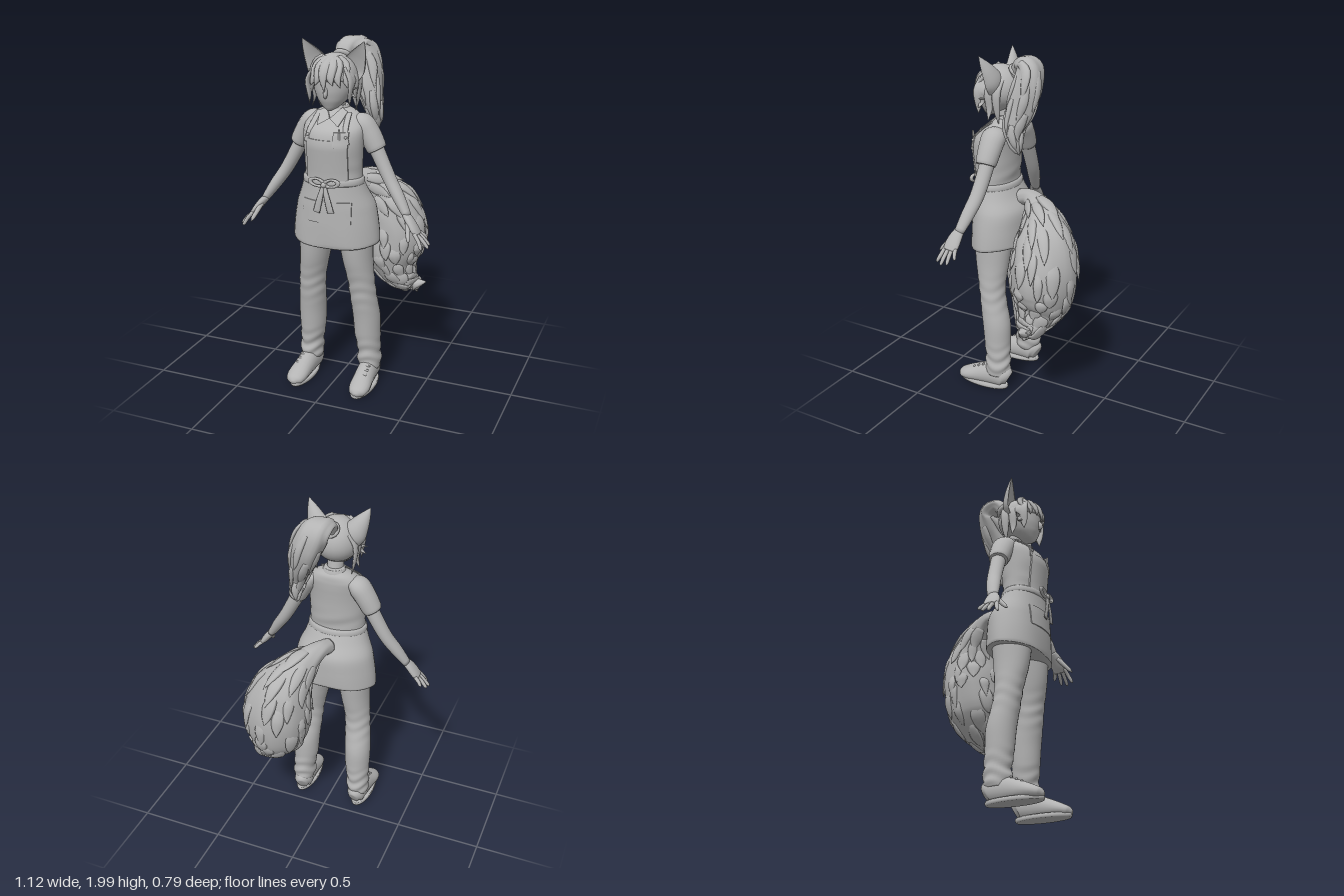
import * as THREE from 'three';

const grey = new THREE.MeshStandardMaterial({ color: 0xb4b4b4, side: THREE.DoubleSide });
const V = (x, y, z) => new THREE.Vector3(x, y, z);
const { sin, cos, sqrt, min, max, abs, PI, floor } = Math;

// Seeded random numbers
let seed = 7;
const rnd = (a, b) => {
  seed = (seed * 16807) % 2147483647;
  return a + (b - a) * seed / 2147483647;
};

// Surface through rings [x, y, z, halfWidth, halfDepth]; ref is the width direction
function surface(rings, ref = V(1, 0, 0), flat = false) {
  const path = new THREE.CatmullRomCurve3(rings.map(r => V(r[0], r[1], r[2])));
  const size = new THREE.CatmullRomCurve3(rings.map((r, i) => V(r[3], r[4], i * 0.05)));
  const frame = t => {
    const T = flat ? V(0, 1, 0) : path.getPoint(min(1, t + 0.004)).sub(path.getPoint(max(0, t - 0.004))).normalize();
    const u = ref.clone().addScaledVector(T, -ref.dot(T)).normalize();
    return { c: path.getPoint(t), s: size.getPoint(t), u, v: T.cross(u) };
  };
  const at = (t, th, k = 1) => {
    const f = frame(t);
    return f.c.addScaledVector(f.u, f.s.x * k * cos(th)).addScaledVector(f.v, f.s.y * k * sin(th));
  };
  return { path, at };
}

// Closed smooth skin over a surface; bump(point, angle, t, centre) adjusts each point
function loft(name, rings, { n = 20, steps = 5, ref, flat, bump } = {}) {
  const s = surface(rings, ref, flat), rows = (rings.length - 1) * steps, pos = [], idx = [];
  for (let i = 0; i <= rows; i++) {
    const t = i / rows, c = s.path.getPoint(t);
    for (let j = 0; j < n; j++) {
      const th = j / n * 2 * PI, p = s.at(t, th);
      if (bump) bump(p, th, t, c);
      pos.push(p.x, p.y, p.z);
      if (i < rows) {
        const a = i * n + j, b = i * n + (j + 1) % n;
        idx.push(a, b, b + n, a, b + n, a + n);
      }
    }
  }
  for (const [row, flip] of [[0, true], [rows, false]]) {
    const c = s.path.getPoint(row / rows), k = pos.length / 3;
    pos.push(c.x, c.y, c.z);
    for (let j = 0; j < n; j++) {
      const a = row * n + j, b = row * n + (j + 1) % n;
      flip ? idx.push(k, b, a) : idx.push(k, a, b);
    }
  }
  const g = new THREE.BufferGeometry();
  g.setAttribute('position', new THREE.Float32BufferAttribute(pos, 3));
  g.setIndex(idx);
  g.computeVertexNormals();
  return mesh(name, g);
}

function mesh(name, g, x = 0, y = 0, z = 0) {
  const m = new THREE.Mesh(g, grey);
  m.name = name;
  m.position.set(x, y, z);
  return m;
}

// Front depth of a body made from horizontal rings
function frontZ(rings, x, y) {
  let i = 0;
  while (i < rings.length - 2 && y > rings[i + 1][1]) i++;
  const a = rings[i], b = rings[i + 1], k = min(1, max(0, (y - a[1]) / (b[1] - a[1])));
  const mix = q => a[q] + (b[q] - a[q]) * k;
  return mix(2) + mix(4) * sqrt(max(0, 1 - (x / mix(3)) ** 2));
}

// Thin plate wrapped on the front of a body
function drape(g, rings, off) {
  const p = g.attributes.position;
  for (let i = 0; i < p.count; i++) p.setZ(i, p.getZ(i) + off + frontZ(rings, p.getX(i), p.getY(i)));
  g.computeVertexNormals();
  return g;
}
const patch = (name, x, y, w, h, rings, off) =>
  mesh(name, drape(new THREE.BoxGeometry(w, h, 0.008, 12, 8, 1).translate(x, y, 0), rings, off));

// Pointed lock through points, widest before the middle
const lock = (name, pts, w, d, ref) => loft(name, pts.map((p, i) => {
  const k = i / (pts.length - 1), f = max(0.02, sin(PI * (0.25 + 0.75 * k)));
  return [...p, w * f, d * f];
}), { n: 8, steps: 3, ref });

// Fur tufts lying along a surface
function tufts(group, name, rings, ref, count, t0, t1, len, width) {
  const s = surface(rings, ref);
  for (let i = 0; i < count; i++) {
    const t = t0 + (t1 - t0) * (i + 0.5) / count, th = i * 2.4 + rnd(-0.3, 0.3);
    const pts = [[0, 0.93], [0.35, 0.99], [0.7, 1.01], [1, 1.06]].map(([k, r]) => s.at(min(0.99, t + len * k), th, r).toArray());
    const side = s.at(t, th + 0.1).sub(s.at(t, th - 0.1));
    group.add(lock(name, pts, width * rnd(0.7, 1.2), 0.012, side));
  }
}

const TORSO = [[0, 1.18, 0.215, 0.17, 0.115], [0, 1.27, 0.215, 0.163, 0.112], [0, 1.35, 0.215, 0.165, 0.12],
  [0, 1.45, 0.218, 0.17, 0.128], [0, 1.52, 0.205, 0.172, 0.122], [0, 1.57, 0.175, 0.16, 0.095],
  [0, 1.61, 0.155, 0.11, 0.07], [0, 1.635, 0.155, 0.055, 0.05]];
const SKIRT = [[0, 0.89, 0.178, 0.252, 0.163], [0, 0.91, 0.178, 0.254, 0.166], [0, 1.0, 0.178, 0.244, 0.167],
  [0, 1.1, 0.18, 0.225, 0.163], [0, 1.18, 0.2, 0.192, 0.138], [0, 1.25, 0.216, 0.168, 0.118]];
const TAIL = [[0, 1.17, 0.07, 0.045, 0.045], [0.03, 1.185, -0.02, 0.055, 0.05], [0.1, 1.12, -0.12, 0.1, 0.1],
  [0.17, 1.0, -0.18, 0.165, 0.165], [0.205, 0.85, -0.2, 0.195, 0.185], [0.215, 0.7, -0.19, 0.175, 0.175],
  [0.255, 0.59, -0.175, 0.11, 0.12], [0.34, 0.525, -0.165, 0.045, 0.055], [0.425, 0.545, -0.16, 0.004, 0.004]];
const PONY = [[0, 1.87, 0.1, 0.035, 0.035], [0.01, 1.94, 0.05, 0.06, 0.04], [0.04, 1.93, -0.015, 0.085, 0.06],
  [0.09, 1.83, -0.025, 0.085, 0.078], [0.125, 1.72, 0, 0.065, 0.08], [0.155, 1.61, 0.02, 0.045, 0.055],
  [0.165, 1.53, 0, 0.025, 0.03], [0.155, 1.475, -0.015, 0.003, 0.003]];

function limbs(model, s) {
  // Trouser leg with gathered folds
  model.add(loft('trouserLeg', [[.185, .09, .125, .058, .068], [.182, .13, .125, .068, .078], [.18, .2, .125, .066, .075],
    [.172, .3, .132, .075, .08], [.168, .42, .14, .079, .084], [.157, .55, .165, .077, .078], [.148, .65, .178, .077, .08],
    [.13, .78, .185, .085, .1], [.118, .9, .185, .094, .113], [.11, 1, .185, .1, .115]].map(r => [r[0] * s, ...r.slice(1)]),
  { n: 28, steps: 8, flat: true, bump: (p, th, t, c) => {
    const f = 0.07 * max(0, 1 - abs(p.y - 0.17) / 0.15) + 0.03 * max(0, 1 - abs(p.y - 0.6) / 0.15);
    const k = 1 + f * sin(p.y * 85 + 1.8 * sin(th * 2 + s));
    p.x = c.x + (p.x - c.x) * k;
    p.z = c.z + (p.z - c.z) * k;
  } }));
  // Shoe, sole and laces
  model.add(loft('shoe', [[.175, .06, .058, .03, .045], [.18, .075, .085, .055, .07], [.185, .075, .17, .056, .072],
    [.19, .06, .25, .058, .058], [.195, .045, .32, .06, .042], [.195, .033, .365, .046, .03], [.195, .025, .386, .012, .012]]
    .map(r => [r[0] * s, ...r.slice(1)]), { bump: p => { p.y = max(p.y, 0.005); } }));
  model.add(loft('sole', [[.189, 0, .222, .06, .16], [.189, .012, .222, .064, .166], [.189, .025, .222, .06, .162]]
    .map(r => [r[0] * s, ...r.slice(1)]), { n: 28, flat: true, steps: 2 }));
  for (let i = 0; i < 3; i++) {
    const lace = mesh('lace', new THREE.CapsuleGeometry(0.007, 0.05, 3, 8), 0.19 * s, 0.128 - i * 0.014, 0.215 + i * 0.03);
    lace.rotation.z = PI / 2 + 0.2 * s;
    model.add(lace);
  }

  // Arm, sleeve and hand
  const Z = V(0, 0, 1), side = r => [r[0] * s, ...r.slice(1)];
  model.add(loft('arm', [[.17, 1.52, .15, .045, .045], [.24, 1.38, .155, .043, .04], [.31, 1.25, .168, .041, .036],
    [.37, 1.16, .19, .038, .032], [.425, 1.075, .213, .029, .022]].map(side), { ref: Z }));
  model.add(loft('sleeve', [[.09, 1.575, .155, .045, .025], [.14, 1.55, .155, .07, .058], [.18, 1.5, .155, .068, .06],
    [.222, 1.425, .157, .06, .056], [.23, 1.41, .157, .055, .05]].map(side), { ref: Z }));
  model.add(loft('palm', [[.415, 1.085, .212, .028, .02], [.445, 1.05, .222, .04, .022], [.475, 1.01, .23, .046, .02],
    [.495, .985, .233, .04, .014]].map(side), { ref: Z, n: 14 }));
  for (const [z, tipX, tipY, tipZ] of [[.2, .53, .95, .182], [.222, .555, .925, .215], [.244, .56, .918, .25], [.264, .535, .92, .29]]) {
    model.add(loft('finger', [[.48, 1, z, .011, .011], [(.49 + tipX) / 2, (1 + tipY) / 2, (z + tipZ) / 2, .012, .011],
      [tipX - .006, tipY + .008, tipZ, .009, .009], [tipX, tipY, tipZ, .002, .002]].map(side), { ref: Z, n: 8, steps: 3 }));
  }
  model.add(loft('thumb', [[.435, 1.05, .24, .014, .014], [.45, 1.01, .275, .014, .013], [.463, .975, .305, .011, .01],
    [.468, .96, .318, .002, .002]].map(side), { ref: V(1, 0, 0), n: 8, steps: 3 }));

  // Fox ear with hollow front
  model.add(loft('ear', [[.075, 1.8, .19, .06, .05], [.1, 1.85, .19, .068, .055], [.13, 1.905, .2, .05, .042],
    [.157, 1.955, .213, .025, .022], [.176, 1.993, .222, .002, .002]].map(side),
  { ref: V(0.9, -0.4 * s, 0), bump: (p, th, t, c) => { if (p.z > c.z) p.z = c.z - (p.z - c.z) * 0.35; } }));

  // Cheek locks
  for (const [x, y, z] of [[.16, 1.755, .24], [.15, 1.7, .25], [.115, 1.66, .27], [.13, 1.63, .2], [.1, 1.61, .15]]) {
    model.add(lock('cheekLock', [[.085, 1.86, z - .01], [.122, 1.79, z], [.115, (1.75 + y) / 2, z], [x, y, z]].map(side), .028, .012, Z));
  }

  // Apron strap with button, and collar wing
  const strap = [1.61, 1.57, 1.53, 1.49, 1.46].map((y, i) => [s * (.085 + .008 * i), y, frontZ(TORSO, .085 + .008 * i, y) + .004, .016, .006]);
  model.add(loft('strap', strap, { n: 10 }));
  model.add(mesh('strapButton', new THREE.SphereGeometry(0.009, 10, 8), s * .109, 1.5, frontZ(TORSO, .109, 1.5) + .01));
  const wing = new THREE.Shape([[0, 1.585], [.045 * s, 1.635], [.08 * s, 1.615], [.06 * s, 1.55]].map(p => new THREE.Vector2(...p)));
  model.add(mesh('collarWing', drape(new THREE.ExtrudeGeometry(wing, { depth: 0.009, bevelEnabled: false }), TORSO, 0.01)));

  // Bow loop and hanging ribbon
  const loop = mesh('bowLoop', new THREE.TorusGeometry(0.028, 0.01, 8, 20), s * .042, 1.25, .352);
  loop.scale.set(1.4, 0.7, 1);
  loop.rotation.set(0, 0, s * 0.15);
  model.add(loop);
  model.add(loft('ribbon', [[s * .004, 1.235, .355, .01, .006], [s * .02, 1.17, .362, .017, .006], [s * .042, 1.085, .36, .02, .006]], { n: 10 }));
}

export function createModel() {
  const model = new THREE.Group();
  seed = 7;

  // Clothes
  model.add(loft('shirt', TORSO, { n: 36, flat: true, bump: (p, th) => { p.z += 0.003 * sin(p.y * 60 + 3 * cos(th)) * max(0, 1 - abs(p.y - 1.31) / .08); } }));
  model.add(loft('apronSkirt', SKIRT, { n: 40, flat: true, bump: (p, th, t) => {
    p.y -= (p.z - 0.18) * 0.13 * (1 - t);
    p.z += 0.005 * sin(th * 5 + 3 * t) * (1 - t);
  } }));
  model.add(loft('waistband', [[0, 1.225, .214, .172, .122], [0, 1.235, .214, .176, .126], [0, 1.255, .215, .174, .124], [0, 1.265, .215, .168, .116]],
    { n: 36, steps: 2, flat: true }));
  model.add(patch('apronBib', 0, 1.365, 0.236, 0.23, TORSO, 0.005));
  model.add(patch('chestPocket', 0.085, 1.485, 0.075, 0.08, TORSO, 0.011));
  model.add(patch('skirtPocket', 0, 1.08, 0.28, 0.12, SKIRT, 0));
  model.add(mesh('pen', new THREE.CylinderGeometry(0.006, 0.006, 0.07, 8), 0.08, 1.51, frontZ(TORSO, 0.08, 1.51) + 0.016));
  model.add(mesh('bowKnot', new THREE.SphereGeometry(0.016, 12, 8), 0, 1.24, 0.357));
  model.add(loft('neck', [[0, 1.57, .155, .05, .05], [0, 1.63, .165, .046, .046], [0, 1.72, .185, .048, .05]], { flat: true }));
  model.add(loft('collar', [[0, 1.595, .153, .085, .065], [0, 1.625, .153, .068, .06], [0, 1.645, .155, .058, .055]], { flat: true }));

  // Head, nose and hair cap
  model.add(loft('head', [[0, 1.628, .27, .012, .012], [0, 1.645, .248, .042, .045], [0, 1.685, .222, .08, .088], [0, 1.74, .205, .106, .115],
    [0, 1.81, .2, .113, .12], [0, 1.87, .195, .095, .1], [0, 1.9, .195, .05, .05]], { n: 28, flat: true }));
  model.add(lock('nose', [[0, 1.755, .312], [0, 1.725, .325], [0, 1.71, .325], [0, 1.7, .31]], .012, .016));
  const cap = new THREE.SphereGeometry(1, 28, 20);
  const cp = cap.attributes.position;
  for (let i = 0; i < cp.count; i++) {
    const y = cp.getY(i), z = cp.getZ(i), front = max(0, z);
    cp.setXYZ(i, cp.getX(i) * 0.126, 1.79 + y * (y < 0 ? 0.12 - 0.13 * front : 0.135), 0.195 + z * (y < 0 && z > 0 ? 0.1 : 0.132));
  }
  cap.computeVertexNormals();
  model.add(mesh('hairCap', cap));

  // Fringe locks sweeping from the crown
  for (const [x, y, dx] of [[-.1, 1.74, -.03], [-.075, 1.76, -.02], [-.045, 1.765, -.015], [-.01, 1.735, .012],
    [.03, 1.77, .015], [.06, 1.76, .02], [.09, 1.75, .025]]) {
    const z = 0.335 - x * x * 7;
    model.add(lock('fringeLock', [[x * .4, 1.905, .24], [x * .85, 1.865, z - .03], [x, 1.81, z], [x + dx, y, z + .005]], .032, .016));
  }

  // Ponytail and its band
  const X = V(1, 0, 0);
  model.add(loft('ponytail', PONY, { n: 28, steps: 6, ref: X, bump: (p, th, t, c) => p.sub(c).multiplyScalar(1 + 0.06 * sin(th * 6 + t * 7)).add(c) }));
  tufts(model, 'ponytailLock', PONY, X, 18, 0.25, 0.82, 0.24, 0.024);
  const band = mesh('hairBand', new THREE.TorusGeometry(0.038, 0.014, 8, 20), 0, 1.895, 0.09);
  band.rotation.x = PI / 2 - 0.7;
  model.add(band);

  // Bushy tail
  model.add(loft('tail', TAIL, { n: 32, steps: 6, ref: X, bump: (p, th, t, c) => p.sub(c).multiplyScalar(1 + 0.025 * sin(th * 7 + t * 12)).add(c) }));
  tufts(model, 'tailTuft', TAIL, X, 75, 0.16, 0.84, 0.12, 0.036);

  for (const s of [1, -1]) limbs(model, s);
  return model;
}
